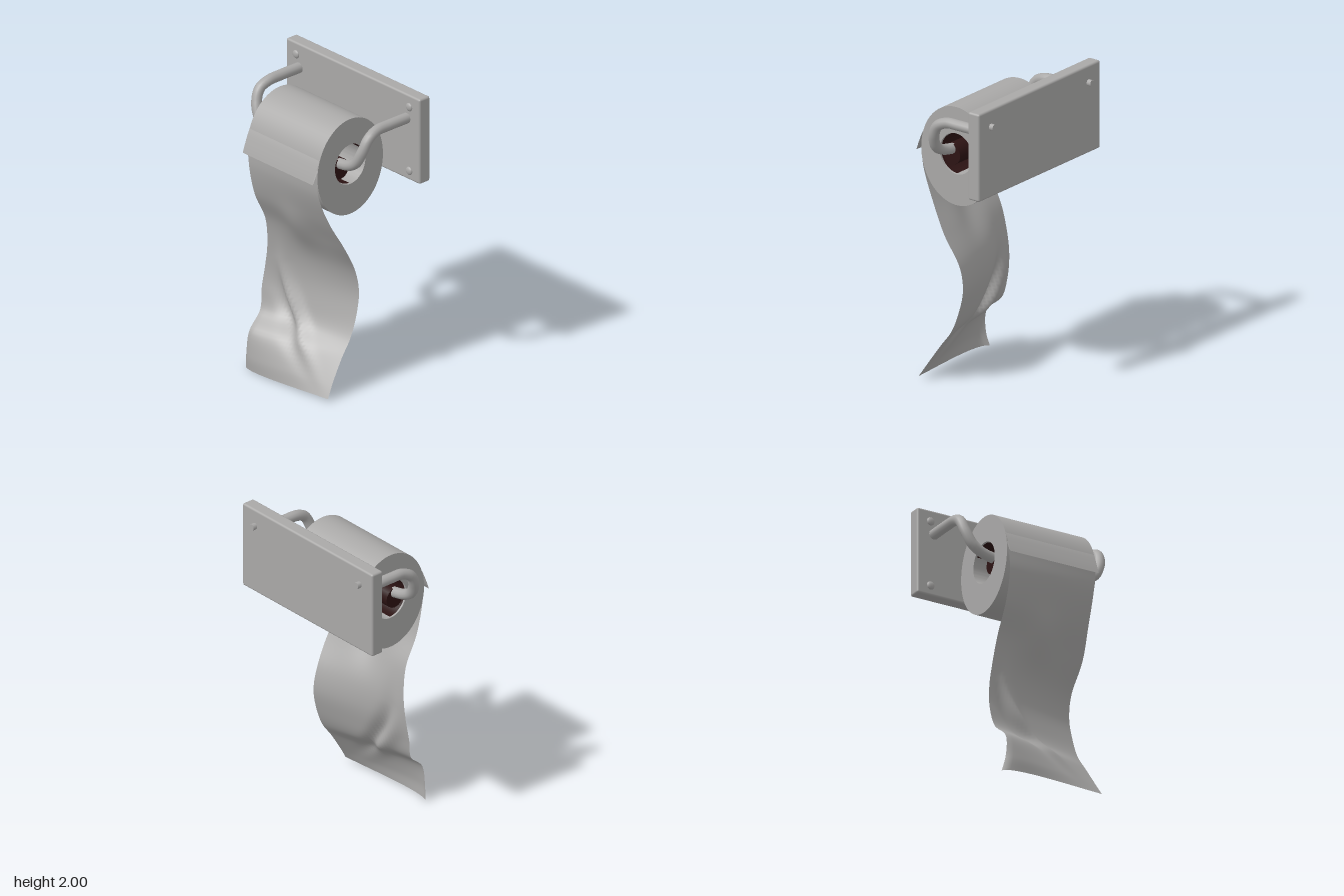
import * as THREE from 'three';
import { toCreasedNormals } from 'three/addons/utils/BufferGeometryUtils.js';
import { RoundedBoxGeometry } from 'three/addons/geometries/RoundedBoxGeometry.js';

const grey = new THREE.MeshStandardMaterial({ color: 0xa9a8a7, side: THREE.DoubleSide });
grey.name = 'grey';
const darkRed = new THREE.MeshStandardMaterial({ color: 0x2c1313, side: THREE.DoubleSide });
darkRed.name = 'dark red';

const V = (x, y, z) => new THREE.Vector3(x, y, z);

export function createModel() {
  const group = new THREE.Group();
  const add = (name, geometry, material, x = 0, y = 0, z = 0) => {
    const mesh = new THREE.Mesh(geometry, material);
    mesh.name = name;
    mesh.position.set(x, y, z);
    group.add(mesh);
    return mesh;
  };

  // Wall plate
  add('wallPlate', new RoundedBoxGeometry(1.24, 0.59, 0.09, 2, 0.014), grey, 0, 1.705, -0.307);

  // Screws: four flat heads in front, two ends poking out behind
  const head = new THREE.SphereGeometry(0.028, 12, 8);
  const end = new THREE.CylinderGeometry(0.022, 0.022, 0.035, 10).rotateX(Math.PI / 2);
  for (const x of [-0.525, 0.525]) {
    for (const y of [1.92, 1.475]) add('screwHead', head, grey, x, y, -0.26).scale.z = 0.5;
    add('screwEnd', end, grey, x * 0.95, 1.885, -0.364);
  }

  // Bent arms, mirrored, running into the roll
  for (const s of [-1, 1]) {
    const path = new THREE.CatmullRomCurve3([
      V(0.5, 1.835, -0.27), V(0.5, 1.835, -0.1), V(0.5, 1.83, 0.0), V(0.505, 1.795, 0.07),
      V(0.49, 1.71, 0.11), V(0.445, 1.625, 0.125), V(0.38, 1.587, 0.125), V(0.3, 1.57, 0.12), V(0.2, 1.555, 0.115),
    ].map((p) => p.setX(p.x * s)));
    add('arm', new THREE.TubeGeometry(path, 40, 0.035, 12), grey);
  }

  // Spindle inside the roll
  const spindle = new THREE.CylinderGeometry(0.07, 0.07, 0.6, 16).rotateZ(Math.PI / 2);
  add('spindle', spindle, darkRed, 0, 1.532, 0.118);

  // Slightly oval paper roll with an open core
  const ring = new THREE.Shape().absellipse(0, 0, 0.28, 0.33, 0, Math.PI * 2);
  ring.holes.push(new THREE.Path().absellipse(0, 0.015, 0.13, 0.137, 0, Math.PI * 2, true));
  const roll = new THREE.ExtrudeGeometry(ring, { depth: 0.65, bevelEnabled: false, curveSegments: 48 });
  roll.translate(0, 0, -0.325).rotateY(Math.PI / 2);
  add('paperRoll', toCreasedNormals(roll, 0.6), grey, 0, 1.54, 0.06);

  // Dark lining on the front and top of the core
  const lining = new THREE.CylinderGeometry(0.127, 0.127, 0.63, 32, 1, true, -Math.PI / 2, Math.PI * 1.3);
  add('coreLining', lining.rotateZ(Math.PI / 2), darkRed, 0, 1.555, 0.06).scale.y = 1.05;

  // A sheet stretched between two side edges
  const sheet = (left, right, nu, nv, bulge) => {
    const a = new THREE.CatmullRomCurve3(left);
    const b = new THREE.CatmullRomCurve3(right);
    const g = new THREE.PlaneGeometry(1, 1, nu, nv);
    const pos = g.attributes.position;
    for (let i = 0; i < pos.count; i++) {
      const u = pos.getX(i) + 0.5;
      const v = 0.5 - pos.getY(i);
      const p = a.getPoint(v).lerp(b.getPoint(v), u);
      pos.setXYZ(i, p.x, p.y, p.z + bulge(p.x, p.y, u));
    }
    g.computeVertexNormals();
    return g;
  };

  // Torn flap lifting off the roll, then its underside returning to the roll
  const flapSides = {
    flap: [[1.68, 0.31], [1.64, 0.331], [1.6, 0.348], [1.55, 0.367], [1.51, 0.38]],
    flapUnderside: [[1.51, 0.38], [1.54, 0.362], [1.6, 0.334]],
  };
  for (const [name, side] of Object.entries(flapSides)) {
    const edge = (x) => side.map(([y, z]) => V(x, y, z));
    add(name, sheet(edge(-0.325), edge(0.323), 1, 10, () => 0), grey);
  }

  // Hanging sheet: y, left x, left z, right x, right z
  const rows = [
    [1.54, -0.315, 0.345, 0.32, 0.345], [1.4, -0.305, 0.342, 0.32, 0.325], [1.2, -0.305, 0.295, 0.33, 0.245],
    [1.0, -0.31, 0.2, 0.352, 0.135], [0.8, -0.33, 0.165, 0.335, 0.025], [0.65, -0.35, 0.165, 0.338, -0.003],
    [0.5, -0.36, 0.185, 0.345, 0.025], [0.36, -0.342, 0.215, 0.35, 0.08], [0.25, -0.325, 0.325, 0.357, 0.16],
    [0.1, -0.335, 0.34, 0.375, 0.26], [0, -0.355, 0.325, 0.39, 0.31],
  ];
  // Curved diagonal crease with a valley beside it, a soft swell above and a bowed hem
  const folds = (x, y, u) => {
    const across = Math.sin(Math.PI * u);
    const t = Math.max(0.72 - y, 0);
    const d = x + 0.23 - 0.25 * t - 0.9 * t * t;
    const fade = Math.exp(-(((y - 0.52) / 0.25) ** 2)) * across;
    const crease = 0.055 * Math.exp(-((d / 0.05) ** 2)) - 0.045 * Math.exp(-(((d + 0.1) / 0.06) ** 2));
    const swell = 0.03 * Math.exp(-((x / 0.13) ** 2) - ((y - 1.05) / 0.14) ** 2);
    const hem = 0.042 * Math.exp(-((y / 0.25) ** 2)) * Math.sin(Math.PI * Math.sqrt(u));
    return crease * fade + swell * across + hem;
  };
  add('hangingSheet', sheet(rows.map((r) => V(r[1], r[0], r[2])),
    rows.map((r) => V(r[3], r[0] + (r[0] ? 0 : 0.02), r[4])), 32, 64, folds), grey);

  return group;
}
